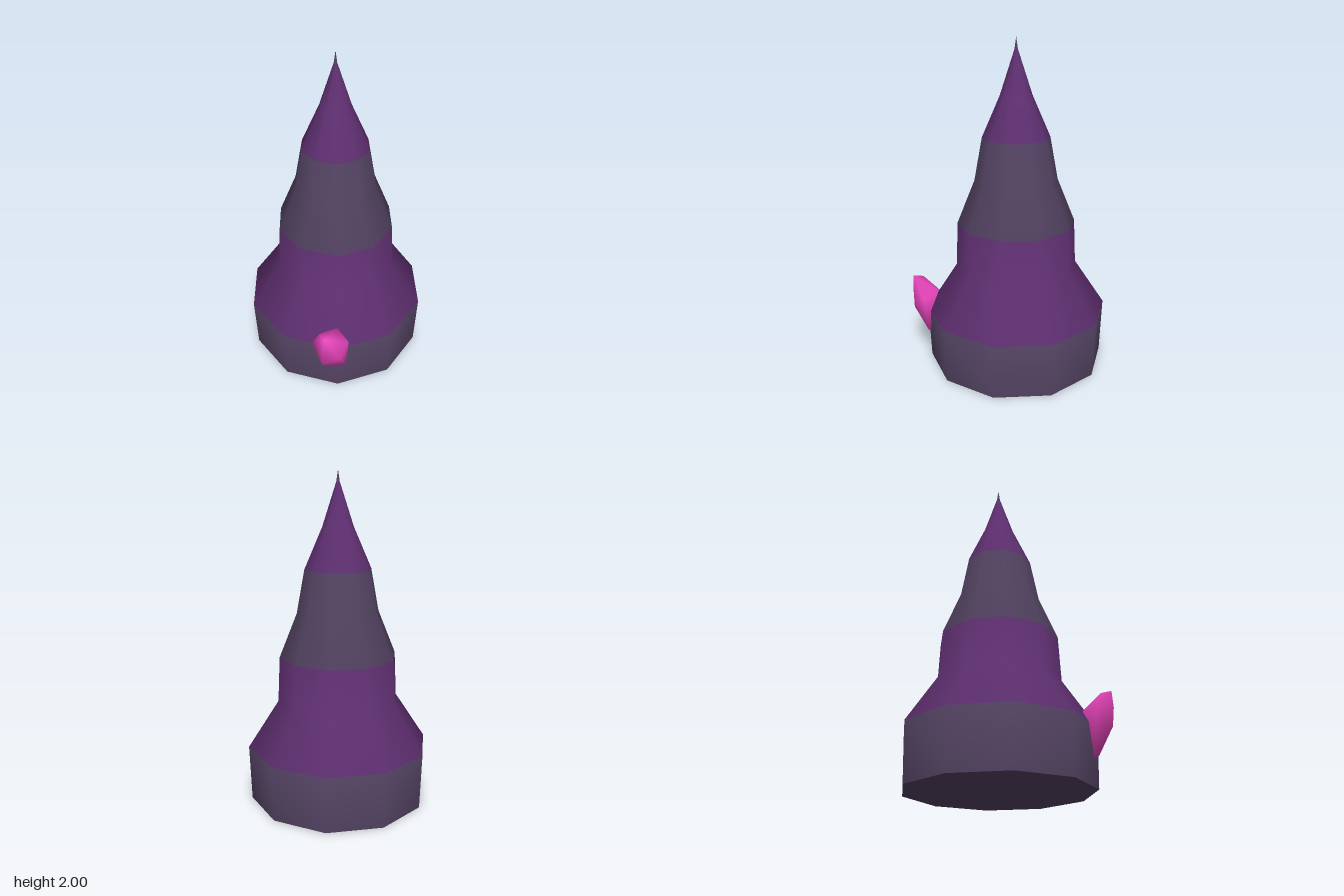
import * as THREE from 'three';
import { mergeVertices } from 'three/addons/utils/BufferGeometryUtils.js';
import { ConvexGeometry } from 'three/addons/geometries/ConvexGeometry.js';

const SIDES = 10;

function material(name, color) {
  const m = new THREE.MeshStandardMaterial({ color });
  m.name = name;
  return m;
}

export function createModel() {
  const group = new THREE.Group();
  const slate = material('slate', 0x524261);
  const purple = material('purple', 0x603072);
  const pink = material('pink', 0xe845bc);

  const add = (name, geometry, mat) => {
    const mesh = new THREE.Mesh(geometry, mat);
    mesh.name = name;
    group.add(mesh);
    return mesh;
  };

  // Ten-sided spire, one smooth surface divided into coloured bands
  const profile = [
    [0.545, 0], [0.557, 0.34], [0.37, 0.625], [0.357, 0.9], [0.25, 1.165],
    [0.202, 1.425], [0.095, 1.67], [0.01, 1.93], [0, 2],
  ].map(([r, y]) => new THREE.Vector2(r, y));
  const spire = new THREE.LatheGeometry(profile, SIDES, Math.PI / 2);
  const rows = profile.length - 1;

  // A band shares the spire's points and normals, keeping rows from..to
  const band = (name, from, to, mat) => {
    const geometry = spire.clone();
    const index = [];
    for (let i = 0; i < SIDES; i++) {
      const start = (i * rows + from) * 6;
      index.push(...spire.index.array.slice(start, start + (to - from) * 6));
    }
    geometry.setIndex(index);
    add(name, geometry, mat);
  };
  band('baseBand', 0, 1, slate);
  band('lowerBand', 1, 3, purple);
  band('middleBand', 3, 5, slate);
  band('upperBand', 5, 7, purple);
  band('tip', 7, 8, slate);

  // Flat underside
  const floor = new THREE.CircleGeometry(0.545, SIDES);
  floor.rotateX(Math.PI / 2);
  add('underside', floor, slate);

  // Irregular crystal growing out of the front left of the base
  const corners = [
    [0.477, 0.52, 0.445], [0.41, 0.5, 0.435], [0.334, 0.4, 0.35], [0.325, 0.29, 0.375],
    [0.397, 0.155, 0.36], [0.477, 0.195, 0.29], [0.524, 0.345, 0.37], [0.505, 0.42, 0.29],
    [0.47, 0.35, 0.266], [0.365, 0.41, 0.456], [0.475, 0.42, 0.458], [0.44, 0.27, 0.44],
    [0.39, 0.44, 0.285], [0.36, 0.3, 0.3],
  ].map((p) => new THREE.Vector3(...p));
  let crystal = new ConvexGeometry(corners);
  crystal.deleteAttribute('normal');
  crystal = mergeVertices(crystal);
  crystal.computeVertexNormals();
  add('crystal', crystal, pink);

  return group;
}
